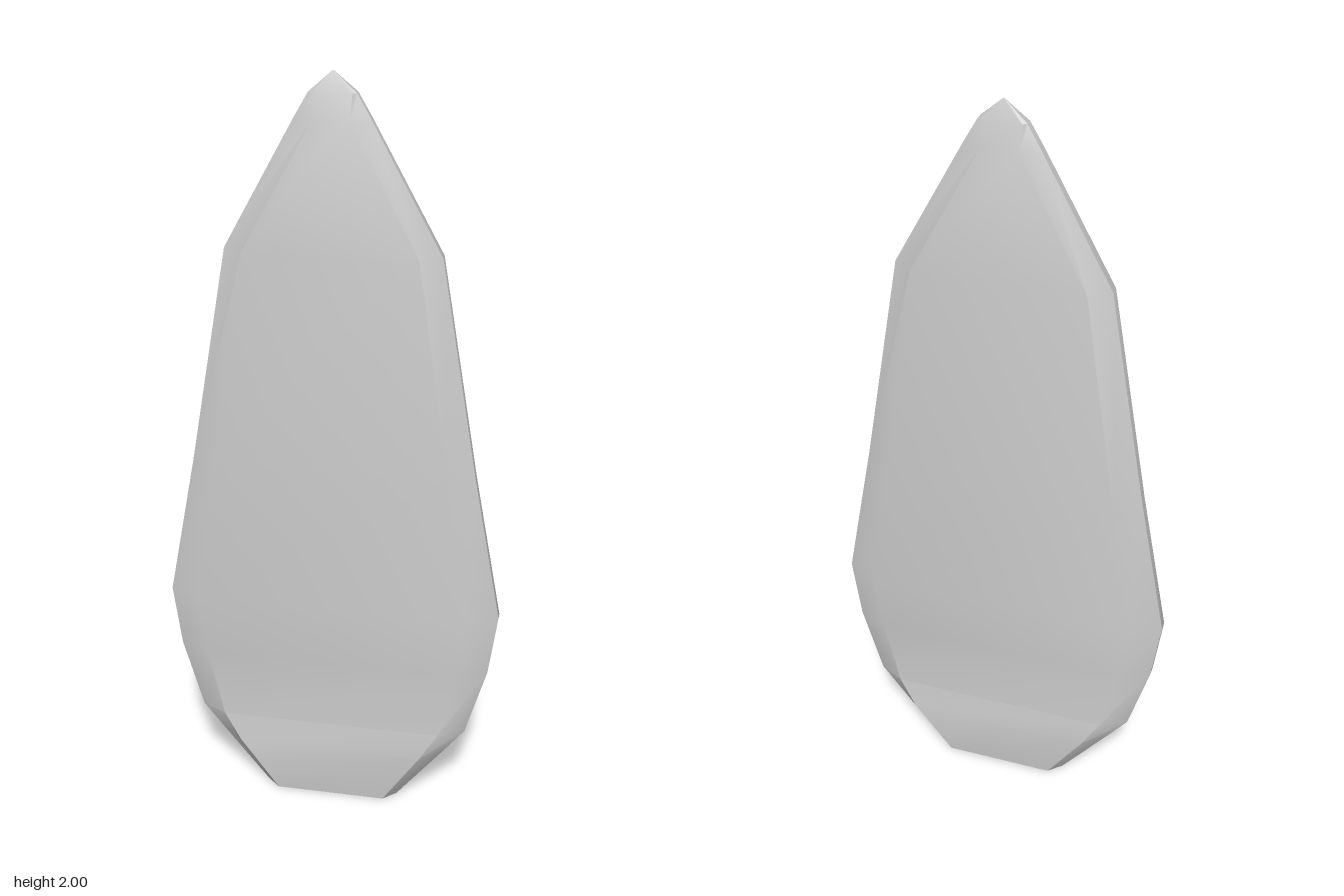
import * as THREE from 'three';
import { toCreasedNormals } from 'three/addons/utils/BufferGeometryUtils.js';

// Cross-sections: height, rim half-width, flat half-width, half-thickness, rim half-thickness
const SECTIONS = [
  [0, 0, 0, 0, 0],
  [0, 0.185, 0.15, 0.046, 0.013],
  [0.16, 0.312, 0.252, 0.063, 0.013],
  [0.235, 0.37, 0.3, 0.05, 0.013],
  [0.43, 0.425, 0.343, 0.05, 0.013],
  [0.6, 0.447, 0.365, 0.05, 0.013],
  [1.0, 0.37, 0.303, 0.05, 0.013],
  [1.57, 0.27, 0.218, 0.05, 0.013],
  [1.89, 0.093, 0.045, 0.03, 0.011],
  [1.95, 0.058, 0.048, 0.017, 0.01],
  [2, 0, 0, 0, 0],
];

// Eight-sided bevelled ring for one section
function ring([y, w, i, d, e]) {
  return [[w, e], [i, d], [-i, d], [-w, e], [-w, -e], [-i, -d], [i, -d], [w, -e]]
    .map(([x, z]) => new THREE.Vector3(x, y, z));
}

function loft(sections) {
  const rings = sections.map(ring);
  const pos = [];
  const tri = (a, b, c) => {
    if (a.equals(b) || b.equals(c) || c.equals(a)) return; // collapsed at the caps
    for (const p of [a, b, c]) pos.push(p.x, p.y, p.z);
  };
  for (let s = 0; s < rings.length - 1; s++) {
    for (let k = 0; k < 8; k++) {
      const n = (k + 1) % 8;
      const a = rings[s][k], b = rings[s][n], c = rings[s + 1][k], d = rings[s + 1][n];
      tri(b, a, c);
      tri(b, c, d);
    }
  }
  const geo = new THREE.BufferGeometry();
  geo.setAttribute('position', new THREE.Float32BufferAttribute(pos, 3));
  return toCreasedNormals(geo, 0.52);
}

export function createModel() {
  const group = new THREE.Group();
  group.name = 'bladePlate';
  // Bevelled leaf-shaped plate with a thickened foot and pointed tip
  const blade = new THREE.Mesh(loft(SECTIONS), new THREE.MeshStandardMaterial({ color: 0xcccccc }));
  blade.name = 'blade';
  group.add(blade);
  return group;
}
